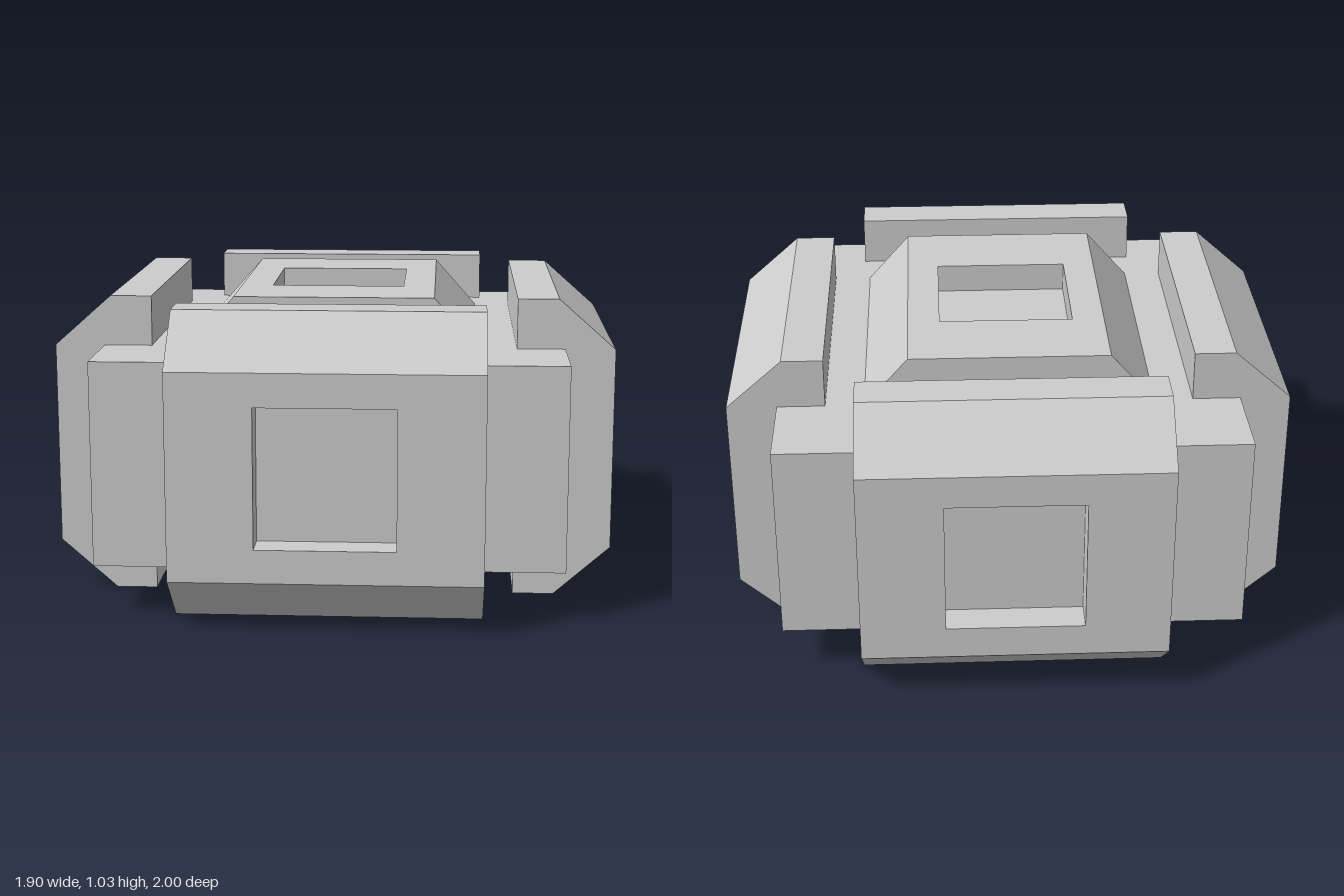
import * as THREE from 'three';

const grey = new THREE.MeshStandardMaterial({ color: 0xcccccc });
grey.name = 'grey';

// Lofts a solid through rectangular rings [halfWidth, halfHeight, depth], closed at both ends
function loftRings(rings) {
  const corners = rings.map(([w, h, z]) => [[-w, -h, z], [w, -h, z], [w, h, z], [-w, h, z]]);
  const pos = [];
  const quad = (a, b, c, d) => pos.push(...a, ...b, ...c, ...a, ...c, ...d);
  for (let r = 0; r < corners.length - 1; r++) {
    for (let k = 0; k < 4; k++) {
      const n = (k + 1) % 4;
      quad(corners[r][k], corners[r][n], corners[r + 1][n], corners[r + 1][k]);
    }
  }
  const [first, last] = [corners[0], corners[corners.length - 1]];
  quad(first[3], first[2], first[1], first[0]);
  quad(...last);
  const geo = new THREE.BufferGeometry();
  geo.setAttribute('position', new THREE.Float32BufferAttribute(pos, 3));
  geo.computeVertexNormals();
  return geo;
}

export function createModel() {
  const group = new THREE.Group();
  const midY = 0.515;
  const add = (name, geo, x = 0, y = 0, z = 0) => {
    const mesh = new THREE.Mesh(geo, grey);
    mesh.name = name;
    mesh.position.set(x, y, z);
    group.add(mesh);
    return mesh;
  };

  // Central block
  add('core', new THREE.BoxGeometry(1.565, 0.69, 1.66), 0, midY, 0);

  // Chamfered wall panel with a square pocket sunk into its outer face
  const panel = (inner, bend, outer) => loftRings([
    [0.512, 0.515, inner],
    [0.512, 0.515, bend],
    [0.512, 0.345, outer],
    [0.23, 0.233, outer],
    [0.23, 0.233, outer - 0.11],
  ]);
  const endPanel = panel(0.665, 0.805, 1);
  const sidePanel = panel(0.62, 0.76, 0.952);
  add('frontPanel', endPanel, 0, midY);
  add('backPanel', endPanel, 0, midY).rotation.y = Math.PI;
  add('leftPanel', sidePanel, 0, midY).rotation.y = Math.PI / 2;
  add('rightPanel', sidePanel, 0, midY).rotation.y = -Math.PI / 2;

  // Top panel, sloped on its two long sides
  const top = loftRings([
    [0.512, 0.49, 0.85],
    [0.512, 0.49, 0.86],
    [0.512, 0.34, 1.03],
    [0.23, 0.23, 1.03],
    [0.23, 0.23, 0.93],
  ]);
  top.rotateZ(Math.PI / 2).rotateX(-Math.PI / 2);
  add('topPanel', top);

  // Thin ledges along the foot of the side panels
  for (const s of [1, -1]) {
    add(s > 0 ? 'leftLedge' : 'rightLedge',
      new THREE.BoxGeometry(0.14, 0.019, 0.8), s * 0.717, 0.0115, 0);
  }
  return group;
}
